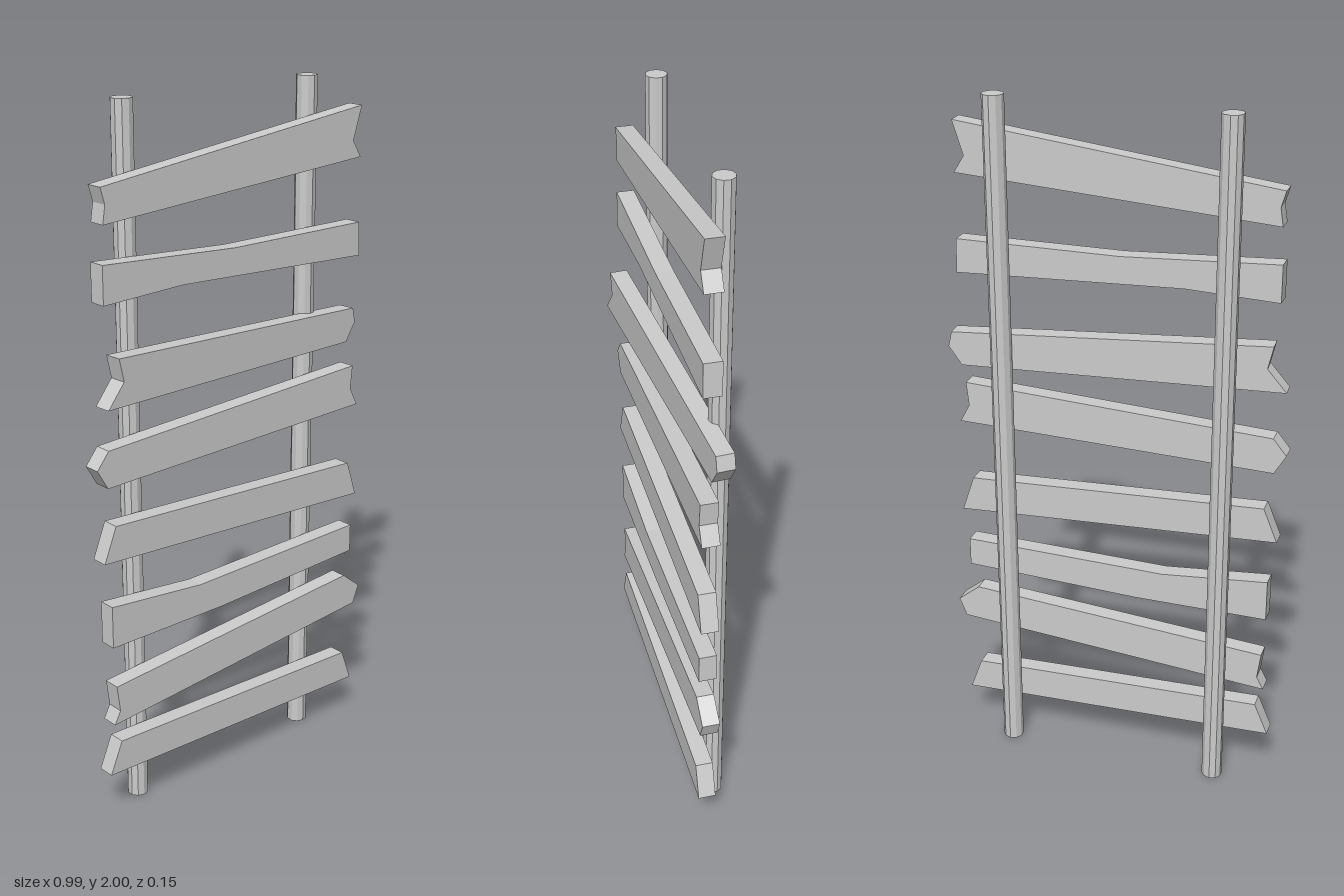
import * as THREE from 'three';

const material = new THREE.MeshStandardMaterial({ color: 0xcccccc, flatShading: true });

// Plank outlines in x, y, from the top board down; notched, pointed or slanted ends
const planks = [
  [[-0.46, 1.805], [-0.447, 1.76], [-0.455, 1.71], [0.445, 1.77], [0.415, 1.818], [0.445, 1.913]],
  [[-0.46, 1.61], [-0.46, 1.505], [-0.2, 1.515], [0.45, 1.488], [0.447, 1.585], [-0.02, 1.585]],
  [[-0.44, 1.37], [-0.425, 1.305], [-0.48, 1.24], [0.436, 1.226], [0.473, 1.28], [0.463, 1.323]],
  [[-0.457, 1.117], [-0.495, 1.07], [-0.462, 1.013], [0.458, 1.037], [0.43, 1.09], [0.437, 1.16]],
  [[-0.44, 0.9], [-0.48, 0.8], [0.463, 0.75], [0.427, 0.857]],
  [[-0.46, 0.668], [-0.46, 0.545], [-0.07, 0.545], [0.447, 0.565], [0.447, 0.65], [-0.15, 0.638]],
  [[-0.452, 0.423], [-0.442, 0.345], [-0.462, 0.307], [0.468, 0.38], [0.49, 0.434], [0.425, 0.487]],
  [[-0.44, 0.248], [-0.48, 0.153], [0.463, 0.122], [0.427, 0.22]],
];
const thickness = 0.05;
const plankZ = 0.015;
const twistedPlank = 2;

export function createModel() {
  const model = new THREE.Group();
  model.name = 'plankLadder';

  // Two upright poles behind the planks
  const poleGeometry = new THREE.CylinderGeometry(0.03, 0.03, 2, 10);
  for (const [name, x] of [['rightPole', -0.325], ['leftPole', 0.312]]) {
    const pole = new THREE.Mesh(poleGeometry, material);
    pole.name = name;
    pole.position.set(x, 1, -0.043);
    model.add(pole);
  }

  // Rough boards nailed across the front
  planks.forEach((outline, i) => {
    const shape = new THREE.Shape(outline.map(([x, y]) => new THREE.Vector2(x, y)));
    const geometry = new THREE.ExtrudeGeometry(shape, { depth: thickness, bevelEnabled: false });
    geometry.translate(0, 0, -thickness / 2);
    const plank = new THREE.Mesh(geometry, material);
    plank.name = `plank${i + 1}`;
    plank.position.z = plankZ;
    // One board hangs loose at one end
    if (i === twistedPlank) plank.rotation.y = 0.067;
    model.add(plank);
  });

  return model;
}
